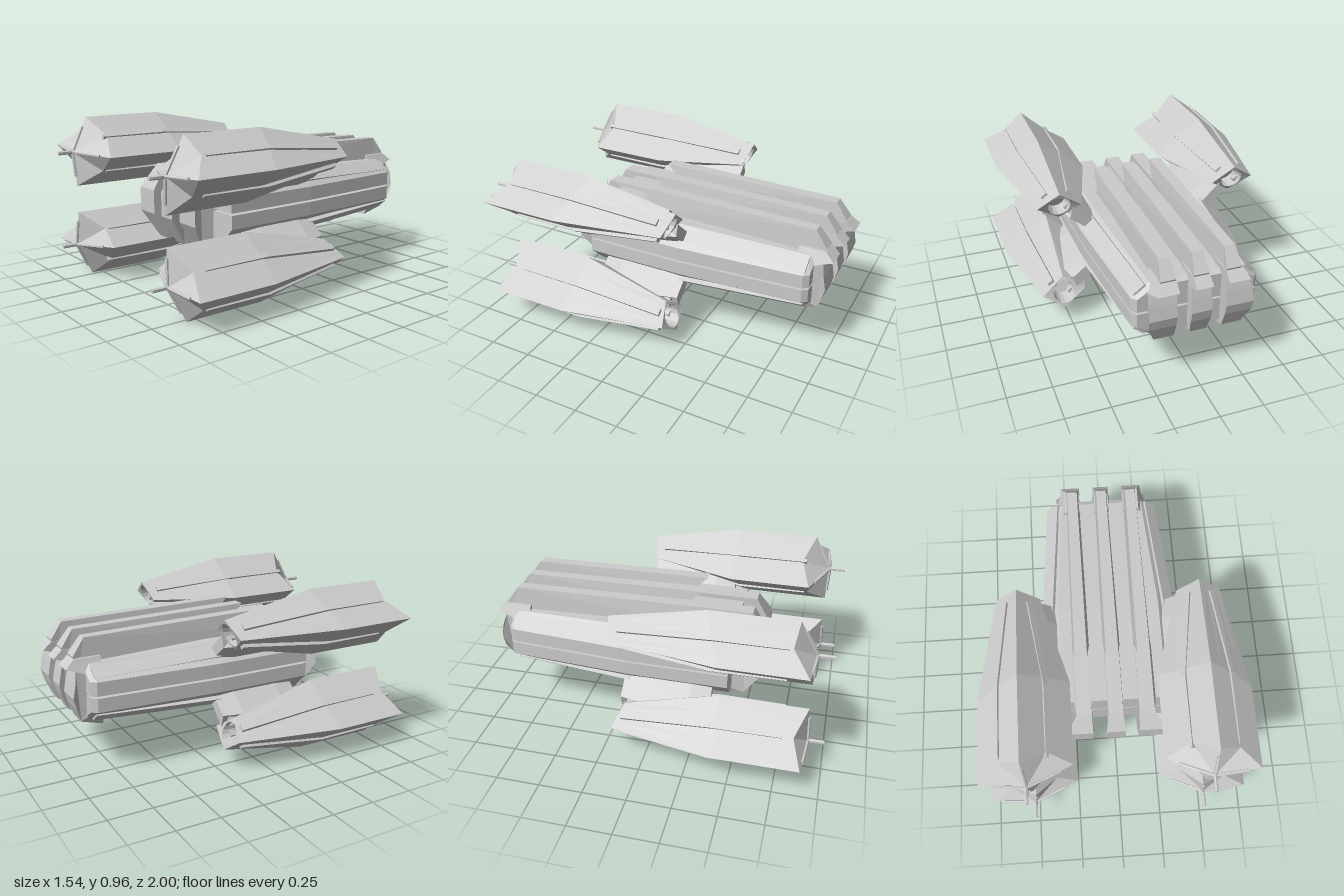
import * as THREE from 'three';

const MID = 0.49; // height of the horizontal symmetry plane
const mat = new THREE.MeshStandardMaterial({ color: 0xcccccc, flatShading: true });
const V = (x, y, z) => new THREE.Vector3(x, y, z);

function mesh(geo, name, parent) {
  const m = new THREE.Mesh(geo, mat);
  m.name = name;
  parent.add(m);
  return m;
}

// Skin over rings of points (counter-clockwise seen from +z, listed from back to front)
function loft(rings, tip) {
  const pos = [];
  const tri = (...p) => p.forEach(v => pos.push(v.x, v.y, v.z));
  const n = rings[0].length;
  for (let i = 0; i + 1 < rings.length; i++) for (let j = 0; j < n; j++) {
    const k = (j + 1) % n, a = rings[i], b = rings[i + 1];
    tri(a[j], a[k], b[k]);
    tri(a[j], b[k], b[j]);
  }
  const centre = r => r.reduce((s, p) => s.add(p), V(0, 0, 0)).divideScalar(n);
  const first = rings[0], last = rings[rings.length - 1];
  const c0 = centre(first), c1 = tip || centre(last);
  for (let j = 0; j < n; j++) {
    const k = (j + 1) % n;
    tri(c0, first[k], first[j]);
    tri(c1, last[j], last[k]);
  }
  const g = new THREE.BufferGeometry();
  g.setAttribute('position', new THREE.Float32BufferAttribute(pos, 3));
  g.computeVertexNormals();
  return g;
}

function bar(a, b, r, name, parent) {
  const m = mesh(new THREE.CylinderGeometry(r, r, a.distanceTo(b), 6), name, parent);
  m.position.copy(a).lerp(b, 0.5);
  m.quaternion.setFromUnitVectors(V(0, 1, 0), b.clone().sub(a).normalize());
}

// Side profile [z, y] extruded across x, with the x limits given as a function of height
function slab(profile, limits, name, parent) {
  const shape = new THREE.Shape(profile.map(([z, y]) => new THREE.Vector2(-z, y)));
  const g = new THREE.ExtrudeGeometry(shape, { depth: 1, bevelEnabled: false });
  g.rotateY(Math.PI / 2);
  const p = g.attributes.position;
  for (let i = 0; i < p.count; i++) {
    const [lo, hi] = limits(p.getY(i), p.getZ(i));
    p.setX(i, p.getX(i) > 0.5 ? hi : lo);
  }
  g.computeVertexNormals();
  mesh(g, name, parent);
}

// Hull: upper and lower shells with a thin seam between them
function addHull(root) {
  const stations = [ // z, half width, half height, flat top half width
    [-0.9, 0.325, 0.145, 0.23], [-0.87, 0.35, 0.16, 0.25],
    [-0.15, 0.4, 0.185, 0.3], [0.43, 0.403, 0.185, 0.3]];
  for (const s of [1, -1]) {
    const rings = stations.map(([z, w, h, t]) => {
      const r = [[-w, 0.006], [w, 0.006], [w, 0.085], [t, h], [-t, h], [-w, 0.085]]
        .map(([x, y]) => V(x, MID + s * y, z));
      return s > 0 ? r : r.reverse();
    });
    mesh(loft(rings), s > 0 ? 'upperHull' : 'lowerHull', root);
  }
  const core = mesh(new THREE.BoxGeometry(0.62, 0.1, 1.26), 'hullCore', root);
  core.position.set(0, MID, -0.23);
}

// Three ribs clasping the hull front and back, each carrying a long dorsal fin
function addRibs(root) {
  const front = [[0.59, 0.42], [0.59, 0.56], [0.51, 0.7], [0.1, 0.7], [0.1, 0.56],
    [0.1, 0.42], [0.1, 0.26], [0.5, 0.26]];
  const back = [[-0.8, 0.285], [-0.93, 0.33], [-0.965, 0.42], [-0.98, 0.48], [-0.965, 0.56], [-0.95, 0.62],
    [-1, 0.635], [-0.95, 0.68], [-0.8, 0.68], [-0.8, 0.56], [-0.8, 0.42]];
  const fin = [[0.1, 0.62], [0.1, 0.7], [0.2, 0.8], [-0.88, 0.785], [-0.95, 0.69], [-0.92, 0.6]];
  for (const side of [-1, 0, 1]) {
    const swell = y => THREE.MathUtils.clamp(1 - (Math.abs(y - MID) - 0.07) / 0.14, 0, 1);
    const band = y => {
      const k = swell(y);
      if (!side) return [-0.042 - 0.014 * k, 0.042 + 0.014 * k];
      const hi = 0.222 + 0.066 * k;
      return side > 0 ? [0.135, hi] : [-hi, -0.135];
    };
    const c = side * 0.179;
    const blade = (y, z) => {
      const w = (y > 0.72 ? 0.035 : 0.048) + 0.006 * z;
      return [c - w, c + w];
    };
    const rib = new THREE.Group();
    rib.name = 'rib';
    root.add(rib);
    slab(front, band, 'frontBand', rib);
    slab(back, band, 'backBand', rib);
    slab(fin, blade, 'dorsalFin', rib);
  }
}

// Two keels below the hull, between the ribs
function addKeels(root) {
  for (const c of [-0.09, 0.09]) {
    const rings = [[-0.88, 0.3], [-0.6, 0.25], [0.1, 0.232], [0.38, 0.29]].map(([z, y]) =>
      [V(c - 0.026, y, z), V(c + 0.026, y, z), V(c + 0.055, 0.35, z), V(c - 0.055, 0.35, z)]);
    mesh(loft(rings), 'keel', root);
  }
}

// Diamond ring through the corners right, top, left, bottom; four steps per edge
function diamond(corners, dent = 0) {
  const out = [];
  for (let i = 0; i < 4; i++) for (let s = 0; s < 4; s++) {
    const p = corners[i].clone().lerp(corners[(i + 1) % 4], s / 4);
    p.z -= dent * (1 - Math.abs(s / 2 - 1));
    out.push(p);
  }
  return out;
}

// One pod with its pylon, for the upper +x quarter, heights relative to MID
function buildPod() {
  const pod = new THREE.Group();
  pod.name = 'pod';
  const rear = [V(0.655, 0.29, -0.185), V(0.53, 0.375, -0.21), V(0.402, 0.28, -0.185), V(0.525, 0.2, -0.14)];
  const waist = [V(0.768, 0.295, 0.42), V(0.525, 0.48, 0.33), V(0.25, 0.265, 0.33), V(0.49, 0.08, 0.4)];
  const nose = [V(0.768, 0.295, 0.89), V(0.525, 0.48, 0.81), V(0.25, 0.265, 0.8), V(0.49, 0.08, 0.9)];
  const tip = V(0.51, 0.28, 0.91);

  // Shell with a round exhaust recess at the back and a notched nose
  const circle = (r, depth) => Array.from({ length: 16 }, (_, j) => {
    const a = j * Math.PI / 8, dy = r * Math.sin(a);
    return V(0.528 + r * Math.cos(a), 0.287 + dy, depth - 0.4 * dy);
  });
  mesh(loft([circle(0.055, -0.08), circle(0.065, -0.178), diamond(rear), diamond(waist),
    diamond(nose, 0.06)], tip), 'podShell', pod);

  // Tapered strip along the middle of each face, and a ridge from each nose corner
  for (let i = 0; i < 4; i++) {
    const k = (i + 1) % 4;
    const rings = [[rear, -0.14, 0.02, 0.022], [waist, 0.37, 0.014, 0.012], [nose, 0.77, 0.01, 0.008]]
      .map(([ring, z, w, lift]) => {
        const c = ring[i].clone().lerp(ring[k], 0.5).setZ(z);
        const t = ring[k].clone().sub(ring[i]).setZ(0).normalize();
        const n = V(t.y, -t.x, 0);
        return [[-0.03, -w], [lift, -w], [lift, w], [-0.03, w]].map(([a, b]) =>
          c.clone().addScaledVector(n, a).addScaledVector(t, b));
      });
    mesh(loft(rings), 'podStrip', pod);
    bar(tip, tip.clone().lerp(nose[i], 0.72), 0.01, 'noseRidge', pod);
  }
  bar(V(0.51, 0.28, 0.85), V(0.51, 0.28, 1), 0.012, 'noseSpike', pod);

  // Pylon flaring from the hull chamfer into the pod
  const section = (z, s) => [V(0.34 + s, 0.07, z), V(0.5 + s, 0.2, z), V(0.42 - s, 0.27, z), V(0.28 - s, 0.14, z)];
  mesh(loft([section(-0.18, -0.03), section(-0.06, 0), section(0.22, 0), section(0.34, -0.03)]), 'pylon', pod);

  // Raised panel along the hull chamfer behind the pylon
  const panel = [[-0.875, 0.305, 0.12, 0.012], [-0.15, 0.355, 0.135, 0.025]].map(([z, x, y, h]) =>
    [V(x - 0.02, y - 0.04, z), V(x + 0.028 + h * 0.6, y - 0.025 + h * 0.7, z),
      V(x - 0.035 + h * 0.6, y + 0.025 + h * 0.7, z), V(x - 0.06, y, z)]);
  mesh(loft(panel), 'chamferPanel', pod);
  return pod;
}

export function createModel() {
  const root = new THREE.Group();
  root.name = 'spacecraft';
  addHull(root);
  addRibs(root);
  addKeels(root);
  for (const sx of [1, -1]) for (const sy of [1, -1]) {
    const pod = buildPod();
    pod.name = (sy > 0 ? 'upper' : 'lower') + (sx > 0 ? 'Left' : 'Right') + 'Pod';
    pod.scale.set(sx, sy, 1);
    pod.position.y = MID;
    root.add(pod);
  }
  return root;
}
